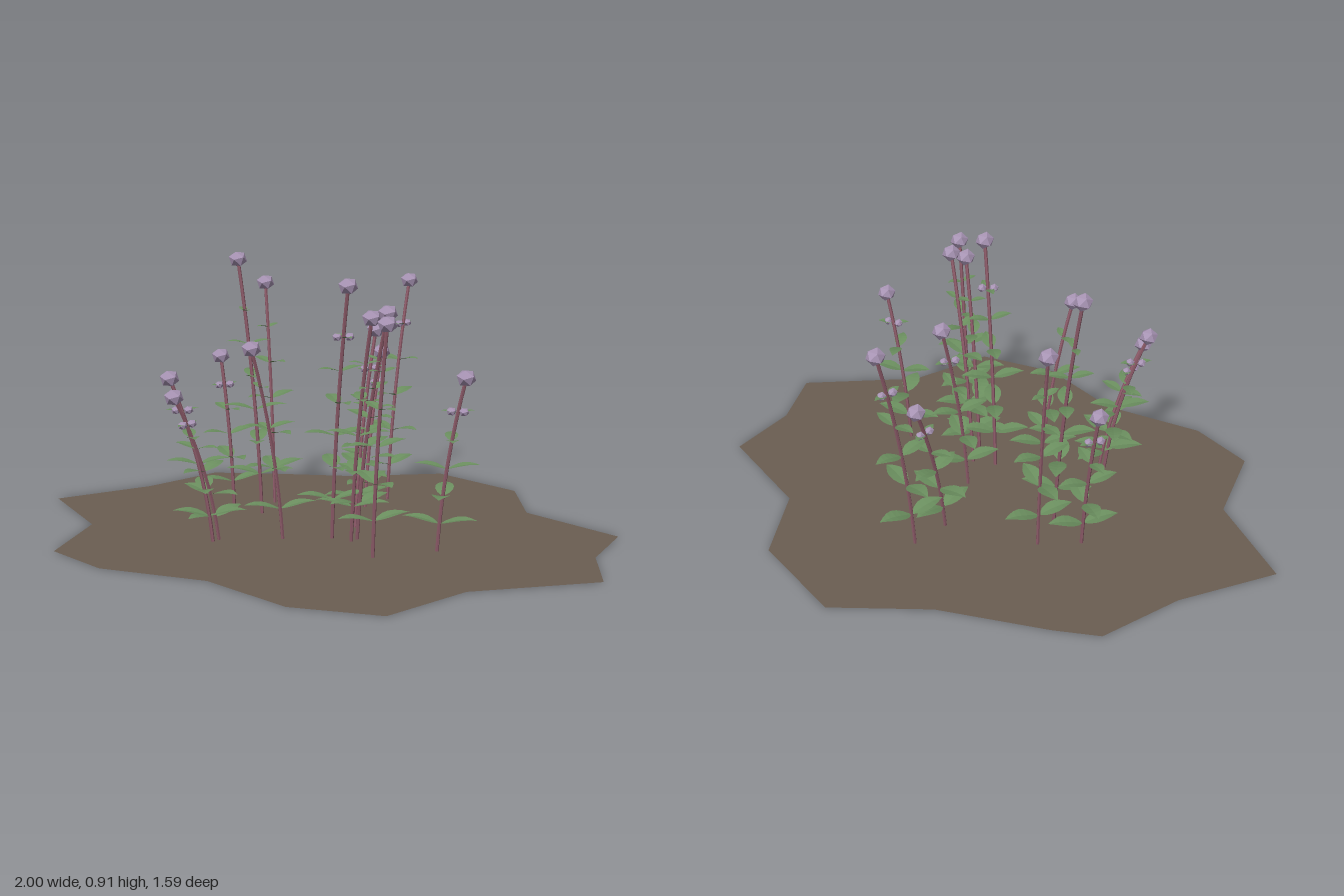
import * as THREE from 'three';
import { mergeGeometries } from 'three/addons/utils/BufferGeometryUtils.js';

const flat = (color) => new THREE.MeshStandardMaterial({ color, flatShading: true, side: THREE.DoubleSide });
const soilMat = flat(0x6b5e52);
const stemMat = flat(0x8c5a68);
const leafMat = flat(0x6b8f5f);
const bloomMat = flat(0xa894b4);

// Ground outline as x, z
const OUTLINE = [
  [-1, 0.03], [-0.77, -0.24], [-0.63, -0.505], [-0.48, -0.555], [-0.115, -0.645], [0.19, -0.8],
  [0.515, -0.655], [0.62, -0.39], [0.965, -0.22], [0.935, 0.03], [1, 0.255], [0.64, 0.485],
  [0.485, 0.76], [0.195, 0.79], [-0.11, 0.665], [-0.47, 0.675], [-0.69, 0.575], [-0.725, 0.27],
];

// base x, base z, head x, head y, head z, leaf nodes, first leaf angle, side buds
const PLANTS = [
  [-0.24, -0.06, -0.33, 0.88, -0.08, 6, 0.3, 0],
  [-0.25, -0.20, -0.31, 0.78, -0.27, 5, 0.9, 0],
  [-0.06, 0.19, -0.12, 0.643, 0.295, 4, 0.6, 0],
  [-0.375, -0.125, -0.43, 0.53, -0.147, 5, 0.75, 1],
  [-0.26, 0.30, -0.375, 0.543, 0.36, 5, 0.4, 1],
  [-0.25, 0.275, -0.345, 0.49, 0.392, 5, 1.2, 1],
  [0.09, 0.13, 0.17, 0.843, 0.205, 6, 0.5, 1],
  [0.11, -0.39, 0.145, 0.78, -0.513, 5, 1.1, 1],
  [0.16, 0.14, 0.255, 0.75, 0.225, 5, 0.2, 0],
  [0.17, 0.11, 0.30, 0.765, 0.203, 6, 1.0, 0],
  [0.28, 0.275, 0.338, 0.75, 0.325, 5, 0.7, 0],
  [0.07, -0.26, 0.08, 0.535, -0.402, 5, 1.3, 1],
  [0.12, -0.015, 0.155, 0.66, -0.113, 5, 0.8, 1],
  [0.45, 0.14, 0.54, 0.57, 0.158, 5, 0.1, 1],
];

// Pointed oval blade, unit length along +x, folded along the midrib, tip lifted
function bladeGeometry() {
  const geo = new THREE.PlaneGeometry(1, 1, 6, 2).rotateX(-Math.PI / 2).translate(0.5, 0, 0);
  const p = geo.attributes.position;
  for (let i = 0; i < p.count; i++) {
    const u = p.getX(i);
    const halfWidth = 0.26 * Math.sin(Math.PI * Math.pow(u, 0.85));
    const side = p.getZ(i) * 2;
    p.setXYZ(i, u, 0.22 * Math.sin(u * 1.9) + 0.05 * Math.abs(side) * Math.sin(Math.PI * u), side * halfWidth);
  }
  return geo;
}
const blade = bladeGeometry();

// Faceted flower ball with a corner at the top
const bloom = new THREE.IcosahedronGeometry(1, 0).rotateX(-Math.atan(2 / (1 + Math.sqrt(5)))).scale(1, 0.9, 1);

function ball(name, position, radius) {
  const mesh = new THREE.Mesh(bloom, bloomMat);
  mesh.name = name;
  mesh.position.copy(position);
  mesh.scale.setScalar(radius);
  return mesh;
}

function createPlant([bx, bz, hx, hy, hz, nodes, angle, hasBuds]) {
  const plant = new THREE.Group();
  plant.name = 'plant';

  // Stem: upright at the foot, leaning towards the head
  const curve = new THREE.QuadraticBezierCurve3(
    new THREE.Vector3(bx, 0, bz),
    new THREE.Vector3(bx + (hx - bx) * 0.2, hy * 0.5, bz + (hz - bz) * 0.2),
    new THREE.Vector3(hx, hy, hz),
  );
  const stem = new THREE.Mesh(new THREE.TubeGeometry(curve, 8, 0.006, 6), stemMat);
  stem.name = 'stem';
  plant.add(stem);

  // Opposite leaf pairs, each a quarter turn from the last, smaller upwards
  const leaves = [];
  for (let n = 0; n < nodes; n++) {
    const f = n / (nodes - 1);
    const at = curve.getPoint(THREE.MathUtils.lerp(0.16, 0.8, f));
    const length = THREE.MathUtils.lerp(0.12, 0.055, f * f);
    for (let s = 0; s < 2; s++) {
      const turn = angle + n * (Math.PI / 2 + 0.07) + s * Math.PI;
      leaves.push(blade.clone().scale(length, length * 0.75, length).rotateY(turn).translate(at.x, at.y, at.z));
    }
  }
  const foliage = new THREE.Mesh(mergeGeometries(leaves), leafMat);
  foliage.name = 'leaves';
  plant.add(foliage);

  // Flower head, with a pair of buds at the top leaves on some plants
  plant.add(ball('flowerHead', curve.getPoint(1), 0.032));
  if (hasBuds) {
    const node = curve.getPoint(0.8);
    for (const s of [-1, 1]) {
      const offset = new THREE.Vector3(Math.cos(angle) * 0.02 * s, 0.005, -Math.sin(angle) * 0.02 * s);
      plant.add(ball('sideBud', node.clone().add(offset), 0.016));
    }
  }
  return plant;
}

export function createModel() {
  const model = new THREE.Group();
  model.name = 'flowerPatch';

  // Flat patch of soil
  const shape = new THREE.Shape(OUTLINE.map(([x, z]) => new THREE.Vector2(x, -z)));
  const soil = new THREE.Mesh(new THREE.ShapeGeometry(shape).rotateX(-Math.PI / 2), soilMat);
  soil.name = 'soil';
  model.add(soil);

  for (const spec of PLANTS) model.add(createPlant(spec));
  return model;
}
